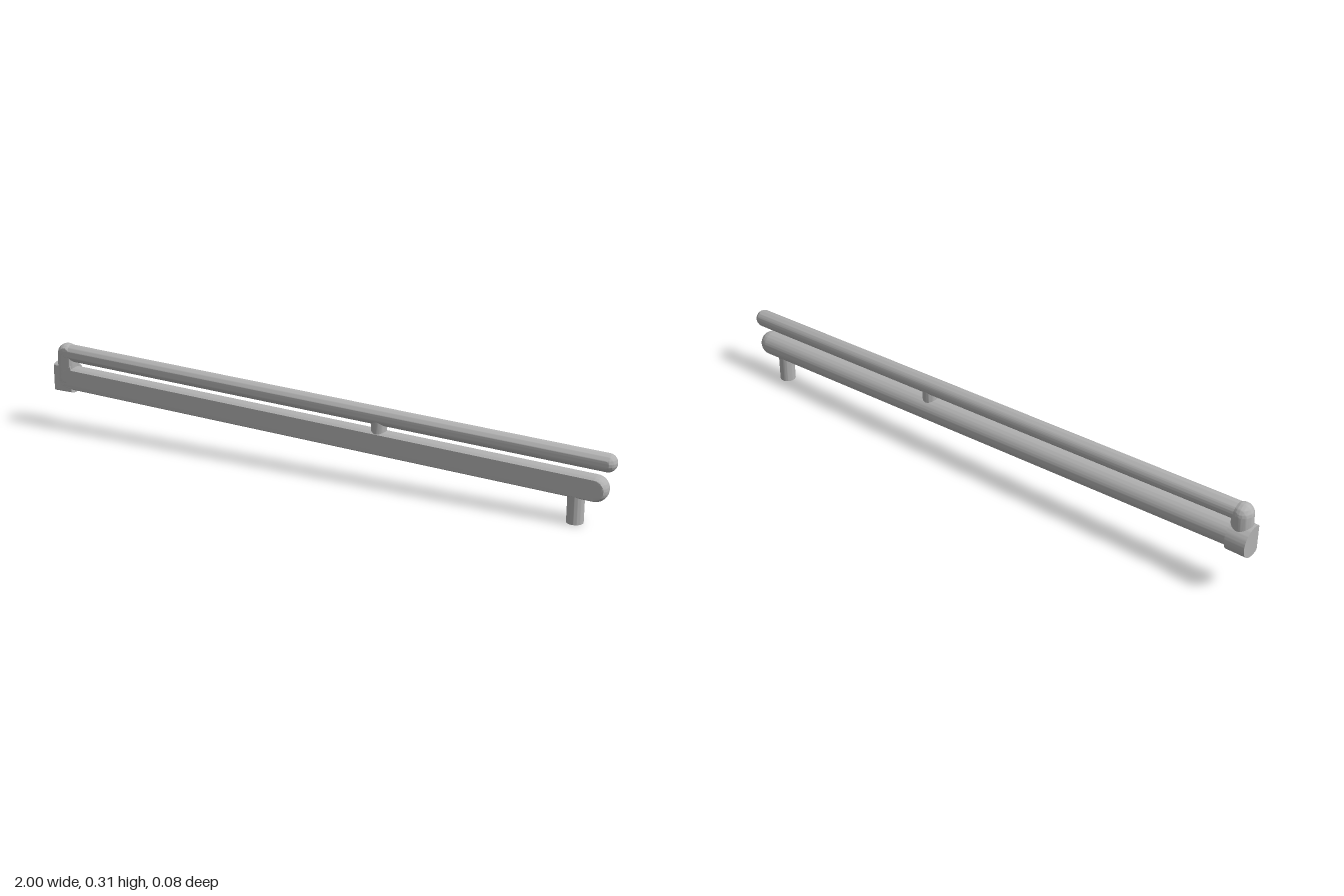
import * as THREE from 'three';
import { toCreasedNormals } from 'three/addons/utils/BufferGeometryUtils.js';

const AXIS_Z = 0.0134; // all tube axes lie in this plane
const FLAT_Z = 0.04; // the front is planed off flat here

export function createModel() {
  const group = new THREE.Group();
  const grey = new THREE.MeshStandardMaterial({ color: 0xb2b2b2 });
  grey.name = 'plain grey';

  // Round bar from a to b (x, y pairs), with its front planed flat
  function bar(name, a, b, radius, roundEnds) {
    const start = new THREE.Vector3(a[0], a[1], AXIS_Z);
    const end = new THREE.Vector3(b[0], b[1], AXIS_Z);
    const dir = end.clone().sub(start);
    const length = dir.length();
    const geo = roundEnds
      ? new THREE.CapsuleGeometry(radius, length, 16, 64)
      : new THREE.CylinderGeometry(radius, radius, length, 64);
    const turn = new THREE.Quaternion().setFromUnitVectors(new THREE.Vector3(0, 1, 0), dir.normalize());
    geo.applyQuaternion(turn);
    const mid = start.add(end).multiplyScalar(0.5);
    geo.translate(mid.x, mid.y, mid.z);
    const p = geo.attributes.position;
    for (let i = 0; i < p.count; i++) p.setZ(i, Math.min(p.getZ(i), FLAT_Z));
    const mesh = new THREE.Mesh(toCreasedNormals(geo, 0.4), grey);
    mesh.name = name;
    group.add(mesh);
  }

  // Two long sloping tubes
  bar('lowerTube', [-0.95, 0.191], [0.936, 0.1205], 0.042, true);
  bar('upperTube', [-0.957, 0.279], [0.97, 0.207], 0.029, true);

  // Left end: collar and the elbow joining the tubes
  bar('collar', [-1, 0.191], [-0.932, 0.191], 0.052, false);
  bar('elbow', [-0.96, 0.195], [-0.957, 0.277], 0.034, true);

  // Strut between the tubes and the pin underneath
  bar('strut', [0.22, 0.15], [0.223, 0.235], 0.0255, false);
  bar('pin', [0.877, 0], [0.877, 0.12], 0.0265, false);

  return group;
}
